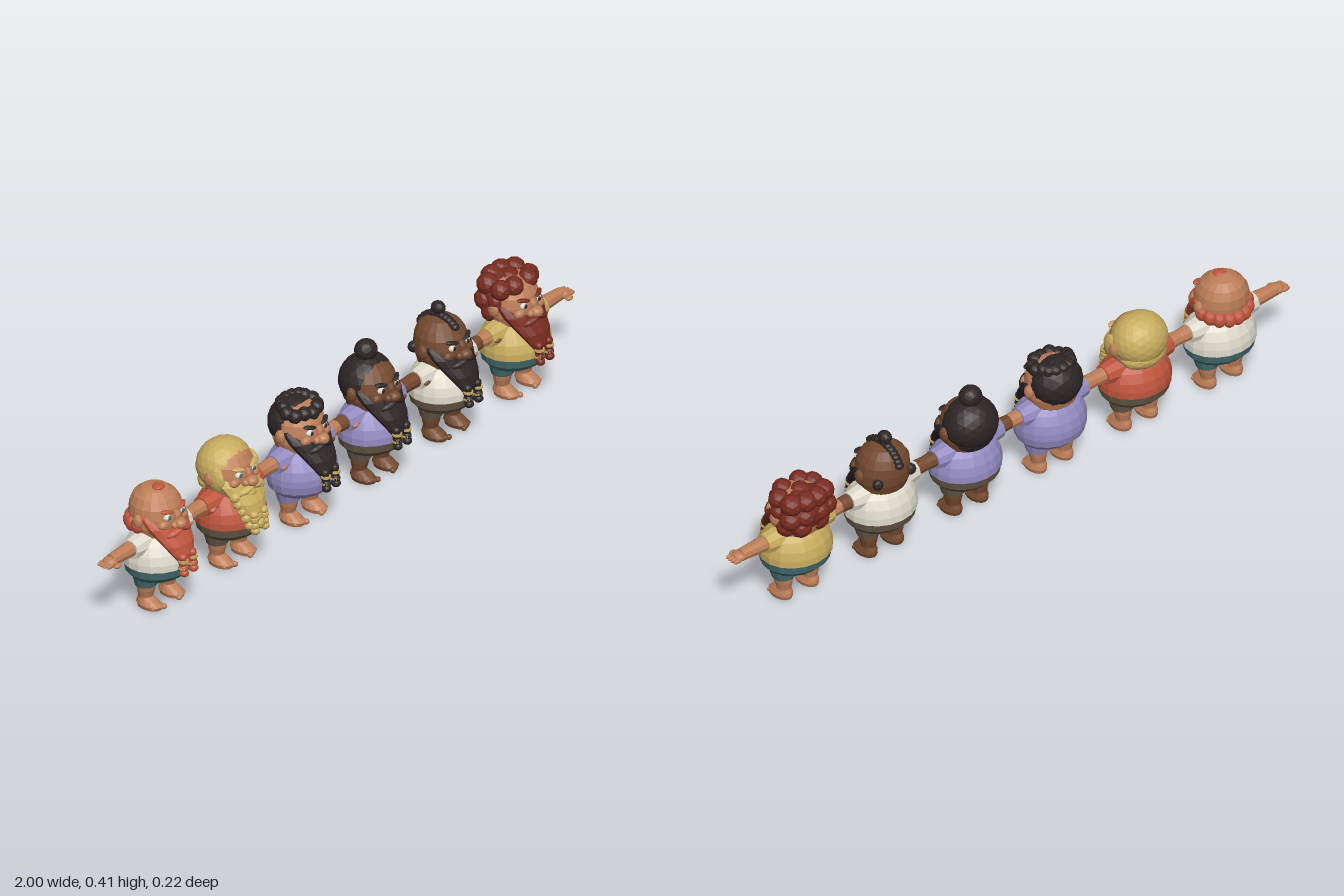
import * as THREE from 'three';

const mat = (name, color) => {
  const m = new THREE.MeshStandardMaterial({ color, flatShading: true });
  m.name = name;
  return m;
};
const M = {
  skin: mat('tan skin', 0xbd7e58), dark: mat('brown skin', 0x74492f),
  coral: mat('coral', 0xbf553d), yellow: mat('straw yellow', 0xc8ac5e),
  black: mat('black hair', 0x2d2526), red: mat('dark red hair', 0x772b1f),
  white: mat('off white', 0xdcd8ca), lilac: mat('lilac', 0x938ac0),
  teal: mat('teal', 0x456e70), brown: mat('brown cloth', 0x665848),
};

function add(group, name, geo, material, pos = [0, 0, 0], rot = [0, 0, 0]) {
  const m = new THREE.Mesh(geo, material);
  m.name = name;
  m.position.set(...pos);
  m.rotation.set(...rot);
  group.add(m);
  return m;
}

// Ellipsoid blob
const ball = (g, name, material, pos, r, detail = 1, rot) =>
  add(g, name, new THREE.IcosahedronGeometry(1, detail), material, pos, rot).scale.set(...(Array.isArray(r) ? r : [r, r, r]));

// Skin over elliptical cross-sections, bottom to top: [y, z, rx, rz]
function loft(rings, n = 18) {
  const p = [], idx = [];
  rings.forEach(([y, z, rx, rz], i) => {
    for (let j = 0; j < n; j++) {
      const a = (j / n) * Math.PI * 2;
      p.push(Math.sin(a) * rx, y, z + Math.cos(a) * rz);
      if (i < rings.length - 1) {
        const k = (j + 1) % n, b = i * n;
        idx.push(b + j, b + k, b + n + j, b + k, b + n + k, b + n + j);
      }
    }
  });
  const g = new THREE.BufferGeometry();
  g.setAttribute('position', new THREE.Float32BufferAttribute(p, 3));
  g.setIndex(idx);
  g.computeVertexNormals();
  return g;
}

// Limb along x (tapered cylinder lying on its side)
const limb = (g, name, material, s, x0, x1, r0, r1, y) =>
  add(g, name, new THREE.CylinderGeometry(r1, r0, x1 - x0, 10), material,
    [s * (x0 + x1) / 2, y, -0.015], [0, 0, -s * Math.PI / 2]);

function body(g, c) {
  add(g, 'shorts', loft([[0.083, -0.01, 0, 0], [0.088, -0.01, 0.06, 0.05], [0.098, -0.01, 0.088, 0.074],
    [0.115, -0.01, 0.102, 0.09], [0.14, -0.01, 0.107, 0.096]]), c.shorts);
  add(g, 'shirt', loft([[0.14, -0.01, 0.109, 0.097], [0.16, -0.01, 0.109, 0.096], [0.185, -0.011, 0.104, 0.088],
    [0.21, -0.013, 0.092, 0.072], [0.228, -0.015, 0.07, 0.055], [0.238, -0.015, 0, 0]]), c.shirt);
  for (const s of [1, -1]) {
    limb(g, 'sleeve', c.shirt, s, 0.05, 0.118, 0.04, 0.029, 0.207);
    limb(g, 'arm', c.skin, s, 0.1, 0.2, 0.024, 0.018, 0.209);
    ball(g, 'hand', c.skin, [s * 0.204, 0.208, -0.013], [0.021, 0.014, 0.023]);
    for (let i = 0; i < 4; i++)
      ball(g, 'finger', c.skin, [s * (0.224 - Math.abs(i - 1.4) * 0.002), 0.206, -0.03 + i * 0.011], [0.017, 0.007, 0.006]);
    ball(g, 'thumb', c.skin, [s * 0.203, 0.203, 0.013], [0.013, 0.007, 0.009]);

    // Legs and bare feet
    const leg = new THREE.Group();
    leg.name = 'leg';
    leg.position.x = s * 0.047;
    g.add(leg);
    add(leg, 'shortLeg', loft([[0.07, -0.016, 0.02, 0.02], [0.07, -0.016, 0.033, 0.031],
      [0.1, -0.015, 0.042, 0.038], [0.12, -0.015, 0.04, 0.038]], 12), c.shorts);
    add(leg, 'shin', loft([[0.015, -0.018, 0.021, 0.022], [0.035, -0.018, 0.021, 0.021],
      [0.055, -0.017, 0.026, 0.026], [0.075, -0.016, 0.029, 0.028]], 12), c.skin);
    add(leg, 'foot', loft([[0.001, -0.004, 0, 0], [0.001, -0.004, 0.025, 0.038], [0.012, -0.004, 0.028, 0.042],
      [0.022, -0.01, 0.024, 0.034], [0.034, -0.018, 0.019, 0.02]], 14), c.skin);
    for (let i = 0; i < 4; i++)
      ball(leg, 'toe', c.skin, [s * (-0.015 + i * 0.011), 0.009, 0.035 - i * 0.004], 0.0085 - i * 0.0008);
  }
}

function head(g, c) {
  add(g, 'head', loft([[0.205, -0.02, 0, 0], [0.21, -0.02, 0.05, 0.045], [0.228, -0.018, 0.07, 0.066],
    [0.255, -0.018, 0.078, 0.075], [0.285, -0.02, 0.078, 0.076], [0.312, -0.022, 0.073, 0.072],
    [0.335, -0.024, 0.06, 0.06], [0.352, -0.025, 0.038, 0.038], [0.361, -0.025, 0, 0]]), c.skin);
  ball(g, 'nose', c.skin, [0, 0.27, 0.066], [0.02, 0.016, 0.02]);
  ball(g, 'noseBridge', c.skin, [0, 0.287, 0.053], [0.011, 0.02, 0.013]);
  for (const s of [1, -1]) {
    ball(g, 'nostril', c.skin, [s * 0.016, 0.267, 0.059], 0.011);
    ball(g, 'cheek', c.skin, [s * 0.04, 0.27, 0.04], [0.02, 0.014, 0.014]);
    ball(g, 'ear', c.skin, [s * 0.081, 0.278, -0.018], [0.012, 0.022, 0.016]);
    ball(g, 'eyeWhite', M.white, [s * 0.03, 0.292, 0.045], [0.013, 0.01, 0.009]);
    ball(g, 'iris', c.iris, [s * 0.029, 0.292, 0.052], [0.006, 0.007, 0.004]);
    ball(g, 'eyebrow', c.hair, [s * 0.031, 0.309, 0.046], [0.021, 0.006, 0.009], 1, [0, s * 0.4, s * 0.2]);
    ball(g, 'moustache', c.hair, [s * 0.024, 0.249, 0.064], [0.029, 0.011, 0.016], 1, [0, s * 0.4, -s * 0.35]);
  }
}

function beard(g, c) {
  add(g, 'beard', loft([[0.158, 0.084, 0, 0], [0.162, 0.084, 0.026, 0.013], [0.185, 0.076, 0.041, 0.022],
    [0.212, 0.058, 0.055, 0.032], [0.24, 0.034, 0.068, 0.036], [0.262, 0.018, 0.078, 0.04],
    [0.288, -0.002, 0.082, 0.03], [0.298, -0.005, 0.07, 0.015]], 14), c.hair);
  // Twin plaits with bands
  for (const s of [1, -1]) {
    for (let i = 0; i < 4; i++)
      ball(g, 'plait', c.hair, [s * 0.02, 0.18 - i * 0.016, 0.091 + i * 0.002], [0.014, 0.012, 0.014]);
    for (const y of [0.168, 0.148])
      add(g, 'plaitBand', new THREE.CylinderGeometry(0.0145, 0.0145, 0.006, 10), c.band, [s * 0.02, y, 0.094]);
  }
}

// Hair styles
const styles = {
  fringe(g, c) { // bald crown, rolls round the back, a small tuft on top
    for (let i = 0; i < 9; i++) {
      const a = -1.5 + i * 0.375;
      ball(g, 'hairRoll', c.hair, [Math.sin(a) * 0.073, 0.262 - Math.cos(a) * 0.012, -0.02 - Math.cos(a) * 0.071], [0.02, 0.025, 0.02]);
    }
    ball(g, 'tuft', c.hair, [0, 0.357, -0.012], [0.02, 0.008, 0.018]);
  },
  smooth(g, c) {
    ball(g, 'hairCap', c.hair, [0, 0.291, -0.031], [0.084, 0.077, 0.076], 3);
    ball(g, 'napeHair', c.hair, [0, 0.248, -0.047], [0.074, 0.04, 0.052], 2);
    for (const s of [1, -1]) ball(g, 'sideHair', c.hair, [s * 0.073, 0.28, 0], [0.014, 0.036, 0.03]);
    // Fuller, knotted beard
    for (let row = 0; row < 5; row++)
      for (let i = -1; i <= 1; i++)
        ball(g, 'beardCurl', c.hair, [i * (0.048 - row * 0.006), 0.232 - row * 0.021, 0.062 + row * 0.008 - Math.abs(i) * 0.012],
          [0.02, 0.017, 0.016]);
  },
  curls(g, c) {
    ball(g, 'hairCap', c.hair, [0, 0.293, -0.038], [0.079, 0.074, 0.069], 2);
    for (let i = 0; i < 7; i++) {
      const a = -1.5 + i * 0.5;
      ball(g, 'frontCurl', c.hair, [Math.sin(a) * 0.055, 0.342 - (i % 2) * 0.006, -0.02 + Math.cos(a) * 0.048], 0.021);
      ball(g, 'topCurl', c.hair, [Math.sin(a) * 0.045, 0.349, -0.035 - Math.cos(a) * 0.03], 0.02);
    }
  },
  bun(g, c) {
    ball(g, 'hairCap', c.hair, [0, 0.291, -0.033], [0.082, 0.077, 0.075], 3);
    ball(g, 'napeHair', c.hair, [0, 0.25, -0.045], [0.066, 0.038, 0.048], 2);
    ball(g, 'bun', c.hair, [0, 0.379, -0.034], [0.034, 0.032, 0.032], 2);
  },
  crest(g, c) { // strip along the crown with a small knot
    for (let i = 0; i < 12; i++) {
      const a = -0.75 + i * 0.17;
      ball(g, 'crest', c.hair, [0, 0.284 + Math.cos(a) * 0.077, -0.023 - Math.sin(a) * 0.076], [0.014, 0.011, 0.014]);
    }
    ball(g, 'knot', c.hair, [0, 0.381, -0.03], [0.019, 0.019, 0.022], 2);
    for (const s of [1, -1])
      ball(g, 'napeTuft', c.hair, [s * 0.056, 0.268, -0.068], [0.02, 0.018, 0.016], 1, [0, s * 0.6, 0]);
  },
  bushy(g, c) {
    ball(g, 'hairMass', c.hair, [0, 0.295, -0.046], [0.083, 0.067, 0.058], 2);
    for (const s of [1, -1])
      for (const [x, y, z, r] of [[0.03, 0.342, 0.01, 0.029], [0.06, 0.333, -0.012, 0.03], [0.056, 0.335, -0.06, 0.033],
        [0.02, 0.34, -0.078, 0.031], [0.062, 0.29, -0.065, 0.032], [0.024, 0.295, -0.08, 0.031],
        [0.061, 0.257, -0.045, 0.029], [0.03, 0.258, -0.068, 0.034], [0.068, 0.3, -0.022, 0.024]])
        ball(g, 'hairCurl', c.hair, [s * x, y, z], r);
    ball(g, 'crownCurl', c.hair, [0, 0.338, -0.03], 0.032);
  },
};

export function createModel() {
  const root = new THREE.Group();
  root.name = 'sixBeardedFolk';
  const folk = [
    // skin, hair, shirt, shorts, plait band, iris, style
    ['skin', 'coral', 'white', 'teal', 'yellow', 'teal', 'fringe'],
    ['skin', 'yellow', 'coral', 'brown', 'yellow', 'teal', 'smooth'],
    ['skin', 'black', 'lilac', 'lilac', 'yellow', 'black', 'curls'],
    ['dark', 'black', 'lilac', 'brown', 'yellow', 'black', 'bun'],
    ['dark', 'black', 'white', 'brown', 'yellow', 'black', 'crest'],
    ['skin', 'red', 'yellow', 'teal', 'yellow', 'black', 'bushy'],
  ];
  folk.forEach(([skin, hair, shirt, shorts, band, iris, style], i) => {
    const g = new THREE.Group();
    g.name = style + 'HairFigure';
    g.position.x = (i - 2.5) * 0.3035;
    const c = { skin: M[skin], hair: M[hair], shirt: M[shirt], shorts: M[shorts], band: M[band], iris: M[iris] };
    body(g, c);
    head(g, c);
    beard(g, c);
    styles[style](g, c);
    root.add(g);
  });
  return root;
}
